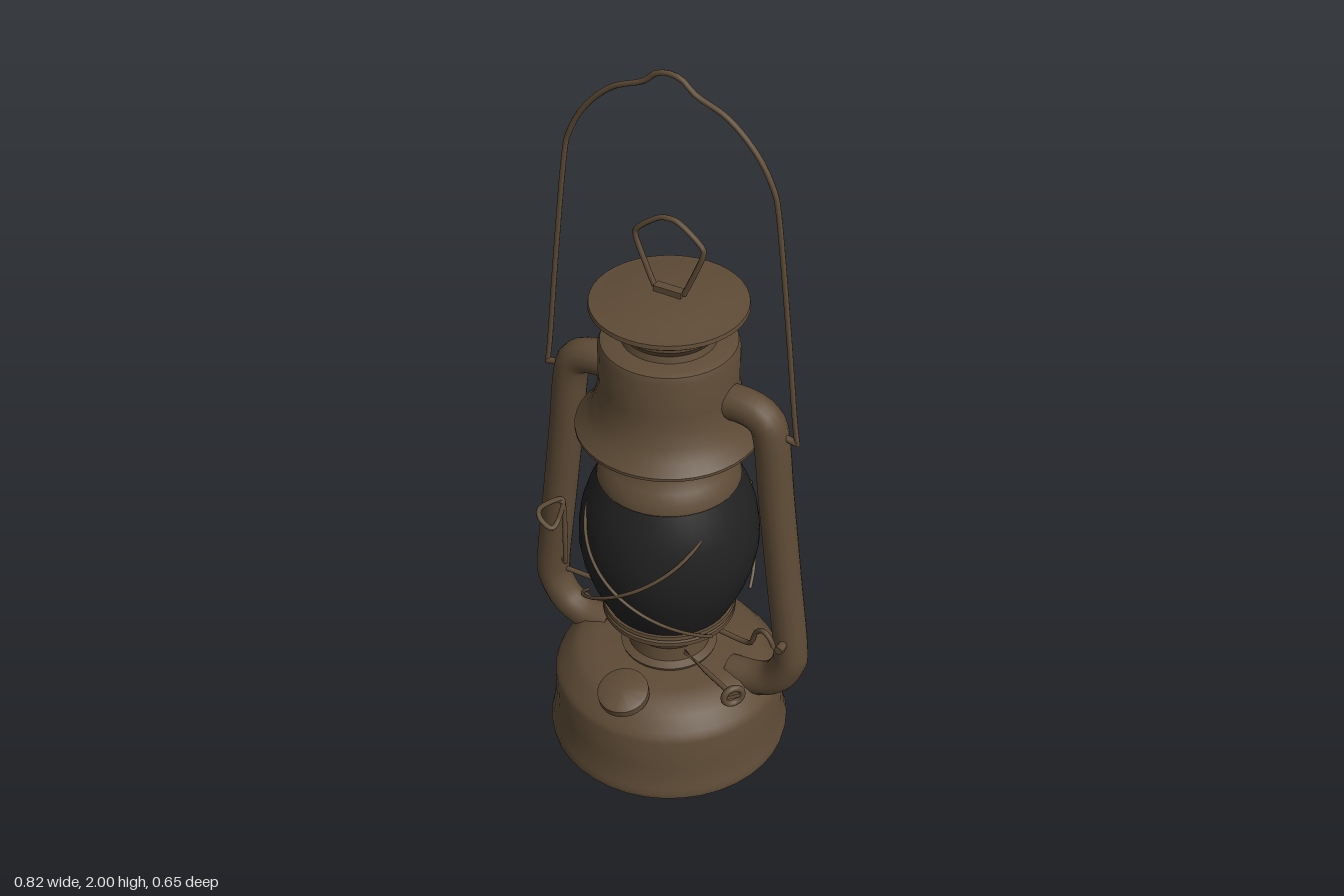
import * as THREE from 'three';
import { toCreasedNormals } from 'three/addons/utils/BufferGeometryUtils.js';

const V = (x, y, z = 0) => new THREE.Vector3(x, y, z);

export function createModel() {
  const lantern = new THREE.Group();
  lantern.name = 'oilLantern';

  const metal = new THREE.MeshStandardMaterial({ color: 0x5e4b36 });
  metal.name = 'brownMetal';
  const dark = new THREE.MeshStandardMaterial({ color: 0x212121 });
  dark.name = 'smokedGlass';

  const add = (name, geometry, material = metal, parent = lantern) => {
    const mesh = new THREE.Mesh(geometry, material);
    mesh.name = name;
    parent.add(mesh);
    return mesh;
  };
  // Turned part from [radius, height] pairs, listed bottom to top on the outside
  const turned = (name, profile, material = metal, parent = lantern) => {
    const pts = profile.map(([r, y]) => new THREE.Vector2(r, y));
    return add(name, toCreasedNormals(new THREE.LatheGeometry(pts, 40), 0.6), material, parent);
  };
  // Bent wire or pipe through points, with small flat end caps
  const pipe = (name, pts, radius, { sides = 8, steps = 48, closed = false, tension = 0.5, kind = 'catmullrom' } = {}) => {
    const curve = new THREE.CatmullRomCurve3(pts, closed, kind, tension);
    const mesh = add(name, new THREE.TubeGeometry(curve, steps, radius, sides, closed));
    if (!closed) {
      for (const t of [0, 1]) {
        const cap = add(name + 'End', new THREE.CircleGeometry(radius, sides), metal, mesh);
        cap.position.copy(curve.getPoint(t));
        const out = curve.getTangent(t).multiplyScalar(t ? 1 : -1);
        cap.quaternion.setFromUnitVectors(V(0, 0, 1), out);
      }
    }
    return mesh;
  };

  // Fuel tank with rolled foot and domed shoulder
  turned('fuelTank', [[0, 0], [0.325, 0], [0.327, 0.015], [0.322, 0.03], [0.318, 0.06], [0.311, 0.1],
    [0.311, 0.19], [0.305, 0.205], [0.296, 0.215], [0.27, 0.25], [0.245, 0.27], [0.2, 0.28], [0, 0.285]]);

  // Burner and globe seat
  turned('burner', [[0.125, 0.275], [0.13, 0.29], [0.11, 0.3], [0.105, 0.34], [0.118, 0.36],
    [0.118, 0.385], [0.1, 0.4], [0, 0.4]]);
  turned('globeSeat', [[0.09, 0.395], [0.13, 0.4], [0.165, 0.408], [0.178, 0.415], [0.178, 0.428],
    [0.168, 0.432], [0.178, 0.437], [0.176, 0.447], [0, 0.447]]);

  // Glass globe
  turned('globe', [[0.165, 0.44], [0.185, 0.48], [0.207, 0.53], [0.226, 0.59], [0.236, 0.65], [0.235, 0.7],
    [0.226, 0.76], [0.208, 0.815], [0.183, 0.865]], dark);

  // Chimney collar above the globe
  turned('chimneyCollar', [[0, 0.855], [0.18, 0.855], [0.186, 0.865], [0.182, 0.89], [0.165, 0.915],
    [0.147, 0.94], [0.142, 0.96], [0.142, 1.06]]);

  // Flared hood, hollow underneath
  turned('hood', [[0, 1.1], [0.16, 1.1], [0.19, 1.055], [0.228, 1.022], [0.237, 1.016], [0.237, 1.024], [0.213, 1.05],
    [0.195, 1.08], [0.182, 1.12], [0.176, 1.16], [0.176, 1.26], [0.17, 1.277], [0.155, 1.283], [0, 1.283]]);

  // Vented neck: low band, four posts, upper band
  turned('neckBand', [[0.12, 1.28], [0.114, 1.3], [0.128, 1.32], [0.128, 1.333], [0, 1.333]]);
  for (let i = 0; i < 4; i++) {
    const post = new THREE.CylinderGeometry(0.125, 0.125, 0.06, 6, 1, true, -0.3, 0.6);
    const ventMetal = i === 0 ? metal.clone() : lantern.getObjectByName('ventPost').material;
    ventMetal.side = THREE.DoubleSide;
    const mesh = add('ventPost', post, ventMetal);
    mesh.position.y = 1.35;
    mesh.rotation.y = i * Math.PI / 2;
  }

  // Cap
  turned('cap', [[0, 1.365], [0.14, 1.365], [0.188, 1.37], [0.197, 1.377], [0.195, 1.388], [0.165, 1.392],
    [0.13, 1.4], [0.08, 1.406], [0, 1.408]]);
  add('ringClip', new THREE.BoxGeometry(0.075, 0.018, 0.024)).position.set(0, 1.414, 0);
  pipe('capRing', [V(-0.04, 1.415), V(-0.06, 1.46), V(-0.091, 1.54), V(-0.082, 1.568), V(-0.03, 1.608), V(0, 1.615),
    V(0.03, 1.608), V(0.082, 1.568), V(0.091, 1.54), V(0.06, 1.46), V(0.04, 1.415)], 0.007, { steps: 60 });

  // Side air pipes, with lugs for the carrying handle
  for (const s of [-1, 1]) {
    pipe('airPipe', [V(0.14, 1.145), V(0.21, 1.147), V(0.26, 1.13), V(0.285, 1.08), V(0.305, 0.9),
      V(0.335, 0.65), V(0.362, 0.43), V(0.36, 0.36), V(0.325, 0.295), V(0.27, 0.262), V(0.19, 0.25)]
      .map(p => p.setX(p.x * s)), 0.046, { sides: 14, steps: 70 });
    pipe('handleLug', [V(0.27 * s, 1.1), V(0.356 * s, 1.085)], 0.009, { steps: 2 });
  }

  // Carrying handle
  const half = [[0.356, 1.08], [0.345, 1.16], [0.32, 1.4], [0.285, 1.7], [0.265, 1.78], [0.22, 1.855],
    [0.15, 1.92], [0.07, 1.955], [0.035, 1.984]];
  pipe('carryingHandle', [...half.map(([x, y]) => V(-x, y)), V(0, 1.993),
    ...half.slice().reverse().map(([x, y]) => V(x, y))], 0.007, { steps: 110 });

  // Crossed guard wires, front and back, with hoops round the globe
  for (const turn of [0, Math.PI]) {
    for (const s of [-1, 1]) {
      const pts = [];
      for (let i = 0; i <= 10; i++) {
        const t = i / 10, a = s * (t - 0.5) * 2.1;
        const r = 0.205 - 0.02 * (t - 0.5) + 0.06 * Math.sin(Math.PI * t);
        pts.push(V(r * Math.sin(a), 0.46 + 0.36 * t, r * Math.cos(a)));
      }
      pipe('guardWire', pts, 0.005, { sides: 6, steps: 40 }).rotation.y = turn;
    }
  }

  // Filler cap on the tank's front shoulder
  const filler = new THREE.Group();
  filler.name = 'fillerCap';
  filler.position.set(0, 0.285, 0.245);
  filler.rotation.x = 0.28;
  lantern.add(filler);
  turned('fillerLid', [[0.035, -0.07], [0.045, -0.04], [0.06, -0.02], [0.068, -0.01], [0.068, 0.012],
    [0.058, 0.018], [0, 0.02]], metal, filler);

  // Wick knob on its angled shaft
  const knobEnd = V(0.275, 0.325, 0.15);
  pipe('wickShaft', [V(0.07, 0.325, 0.06), knobEnd], 0.007, { steps: 2 });
  const knob = add('wickKnob', new THREE.TorusGeometry(0.026, 0.009, 8, 18));
  knob.position.copy(knobEnd);
  knob.lookAt(knobEnd.clone().add(V(0.6, 0, 0.5)));
  const knobBar = add('wickKnobBar', new THREE.BoxGeometry(0.05, 0.012, 0.008));
  knobBar.position.copy(knobEnd);
  knobBar.quaternion.copy(knob.quaternion);

  // Globe lift lever running under the seat
  pipe('liftLever', [V(-0.34, 0.395, 0), V(0, 0.395, 0), V(0.24, 0.395, 0.02), V(0.262, 0.41, 0.03), V(0.285, 0.47, 0.045),
    V(0.31, 0.492, 0.055), V(0.335, 0.475, 0.06), V(0.345, 0.452, 0.06), V(0.372, 0.457, 0.06)], 0.007, { steps: 70, kind: 'centripetal' });
  pipe('leverPin', [V(0.362, 0.46, 0.02), V(0.362, 0.46, 0.072)], 0.012, { steps: 2 });

  // Latch wire on the right pipe
  pipe('latchWire', [V(-0.305, 0.465, 0.04), V(-0.292, 0.48, 0.05), V(-0.292, 0.66, 0.05), V(-0.3, 0.685, 0.06)],
    0.007, { steps: 30 });
  pipe('latchLoop', [V(-0.295, 0.685, 0.05), V(-0.34, 0.665, 0.085), V(-0.335, 0.64, 0.1),
    V(-0.3, 0.62, 0.1), V(-0.295, 0.635, 0.07)], 0.007, { steps: 36, closed: true });
  pipe('latchPin', [V(-0.335, 0.65, -0.05), V(-0.395, 0.66, -0.066)], 0.008, { steps: 2 });

  return lantern;
}
